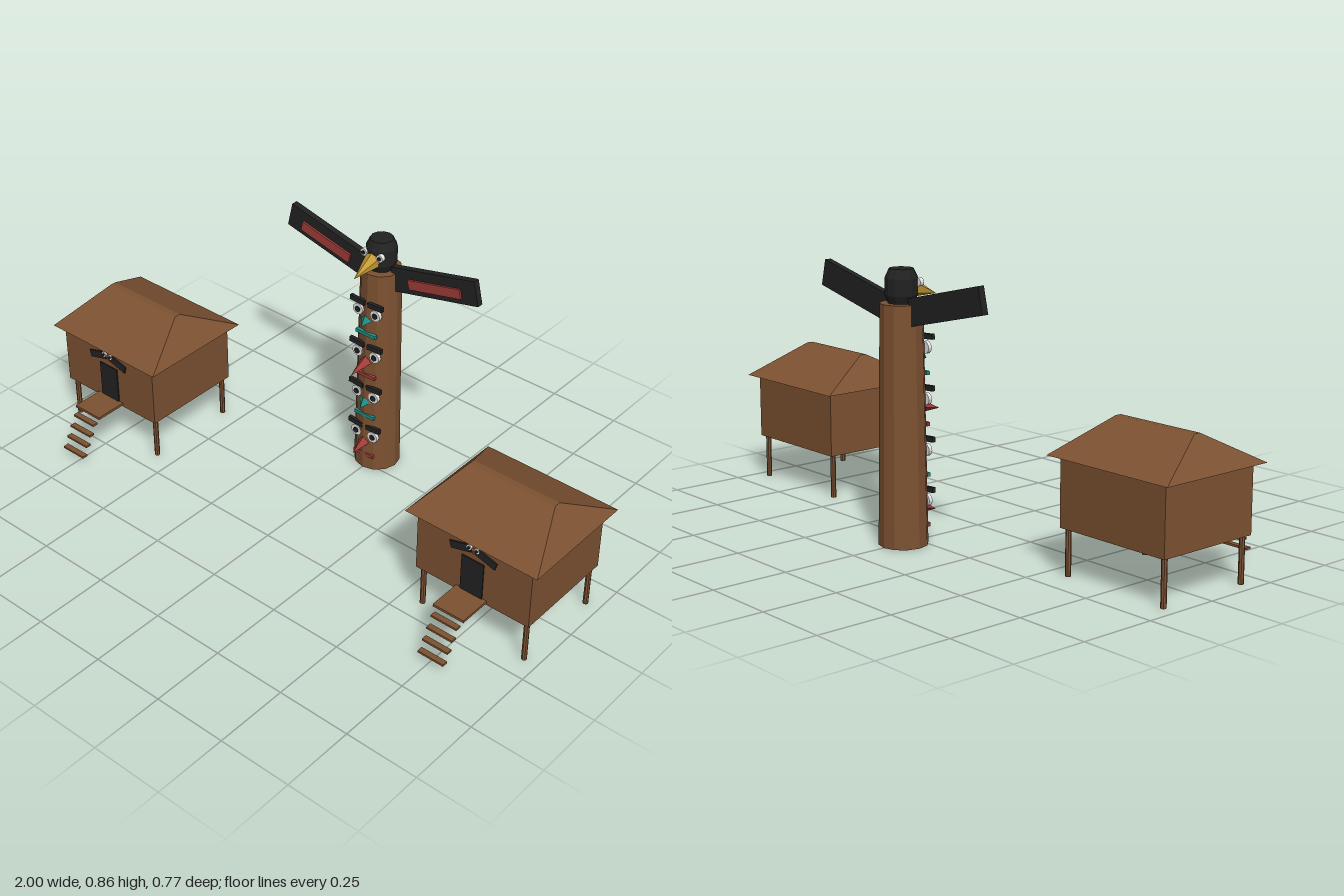
import * as THREE from 'three';

const mat = (name, color) => {
  const m = new THREE.MeshStandardMaterial({ color });
  m.name = name;
  return m;
};

export function createModel() {
  const wood = mat('brown wood', 0x7d5232);
  const black = mat('black paint', 0x222222);
  const white = mat('white paint', 0xe6e6e6);
  const red = mat('red paint', 0xa03c38);
  const teal = mat('teal paint', 0x208f86);
  const gold = mat('gold beak', 0xc49a35);

  const model = new THREE.Group();
  model.name = 'totemAndHuts';

  // Adds one faceted mesh to a group
  function add(parent, name, geometry, material, x = 0, y = 0, z = 0, rz = 0) {
    const g = geometry.index ? geometry.toNonIndexed() : geometry;
    g.computeVertexNormals();
    const mesh = new THREE.Mesh(g, material);
    mesh.name = name;
    mesh.position.set(x, y, z);
    mesh.rotation.z = rz;
    parent.add(mesh);
    return mesh;
  }
  const box = (w, h, d) => new THREE.BoxGeometry(w, h, d);
  const disc = (r, d) => new THREE.CylinderGeometry(r, r, d, 12).rotateX(Math.PI / 2);

  // Cone running from a base centre to a tip in the x = 0 plane
  function beak(parent, name, r, y, z, tipY, tipZ, material, sides = 6) {
    const dir = new THREE.Vector3(0, tipY - y, tipZ - z);
    const len = dir.length();
    const cone = new THREE.ConeGeometry(r, len, sides).translate(0, len / 2, 0);
    const mesh = add(parent, name, cone, material, 0, y, z);
    mesh.quaternion.setFromUnitVectors(new THREE.Vector3(0, 1, 0), dir.normalize());
  }

  // White disc with a black pupil on each side
  function eyes(parent, r, x, y, z, depth) {
    for (const s of [-1, 1]) {
      add(parent, 'eyeWhite', disc(r, depth), white, s * x, y, z);
      add(parent, 'pupil', disc(r * 0.5, 0.005), black, s * x, y, z + depth / 2 + 0.001);
    }
  }

  // Totem pole
  const totem = new THREE.Group();
  totem.name = 'totemPole';
  totem.position.z = -0.304;
  model.add(totem);
  add(totem, 'pole', new THREE.CylinderGeometry(0.067, 0.078, 0.755, 12), wood, 0, 0.3775, 0);

  // Four stacked carved faces, alternating red and teal
  for (let i = 0; i < 4; i++) {
    const face = new THREE.Group();
    face.name = 'carvedFace';
    face.position.y = i * 0.16;
    totem.add(face);
    const paint = i % 2 ? teal : red;
    for (const s of [-1, 1])
      add(face, 'brow', box(0.058, 0.017, 0.012), black, s * 0.036, 0.169, 0.07, s * 0.06);
    eyes(face, 0.02, 0.035, 0.135, 0.066, 0.012);
    if (i % 2) beak(face, 'shortBeak', 0.022, 0.108, 0.068, 0.093, 0.096, paint, 4);
    else beak(face, 'longBeak', 0.022, 0.106, 0.067, i ? 0.089 : 0.087, i ? 0.146 : 0.13, paint, 4);
    add(face, 'mouth', box(0.08, 0.012, 0.012), paint, 0, 0.055, 0.07);
  }

  // Bird on top
  const bird = new THREE.Group();
  bird.name = 'bird';
  totem.add(bird);
  const profile = [[0, 0.753], [0.04, 0.753], [0.051, 0.78], [0.051, 0.832], [0.038, 0.86], [0, 0.86]];
  add(bird, 'head', new THREE.LatheGeometry(profile.map(p => new THREE.Vector2(...p)), 12), black);
  beak(bird, 'beak', 0.03, 0.797, 0.04, 0.77, 0.135, gold);
  eyes(bird, 0.013, 0.032, 0.817, 0.045, 0.014);
  for (const s of [-1, 1]) {
    add(bird, 'wing', box(0.33, 0.085, 0.022), black, s * 0.215, 0.77, -0.002, s * 0.23);
    add(bird, 'wingPanel', box(0.205, 0.033, 0.008), red, s * 0.22, 0.764, 0.012, s * 0.23);
  }

  // Hipped roof: a box whose top is drawn in to a narrow ridge
  function roofGeometry() {
    const g = box(0.475, 0.103, 0.414);
    const p = g.attributes.position;
    for (let i = 0; i < p.count; i++)
      if (p.getY(i) > 0) {
        p.setX(i, Math.sign(p.getX(i)) * 0.154);
        p.setZ(i, Math.sign(p.getZ(i)) * 0.011);
      }
    return g;
  }

  // Stilt huts on both sides
  for (const side of [-1, 1]) {
    const hut = new THREE.Group();
    hut.name = side > 0 ? 'leftHut' : 'rightHut';
    hut.position.x = side * 0.7625;
    model.add(hut);
    add(hut, 'walls', box(0.414, 0.217, 0.362), wood, 0, 0.2555, 0.014);
    add(hut, 'roof', roofGeometry(), wood, 0, 0.4145, 0.0125);
    for (const x of [-0.19, 0.19])
      for (const z of [-0.148, 0.176])
        add(hut, 'stilt', new THREE.CylinderGeometry(0.009, 0.009, 0.15, 8), wood, x, 0.075, z);
    add(hut, 'porch', box(0.112, 0.009, 0.115), wood, 0, 0.157, 0.25);
    for (let i = 0; i < 4; i++)
      add(hut, 'step', box(0.094, 0.007, 0.02), wood, 0, 0.033 + i * 0.0337, 0.375 - i * 0.019);
    add(hut, 'door', box(0.08, 0.13, 0.006), black, 0, 0.226, 0.196);

    // Small bird ornament over the door
    const ornament = new THREE.Group();
    ornament.name = 'doorOrnament';
    hut.add(ornament);
    for (const s of [-1, 1])
      add(ornament, 'ornamentWing', box(0.075, 0.026, 0.006), black, s * 0.046, 0.319, 0.197, -s * 0.28);
    eyes(ornament, 0.009, 0.014, 0.333, 0.198, 0.007);
    add(ornament, 'ornamentBeak', new THREE.ConeGeometry(0.009, 0.018, 4).rotateX(Math.PI), red, 0, 0.322, 0.198);
  }
  return model;
}
